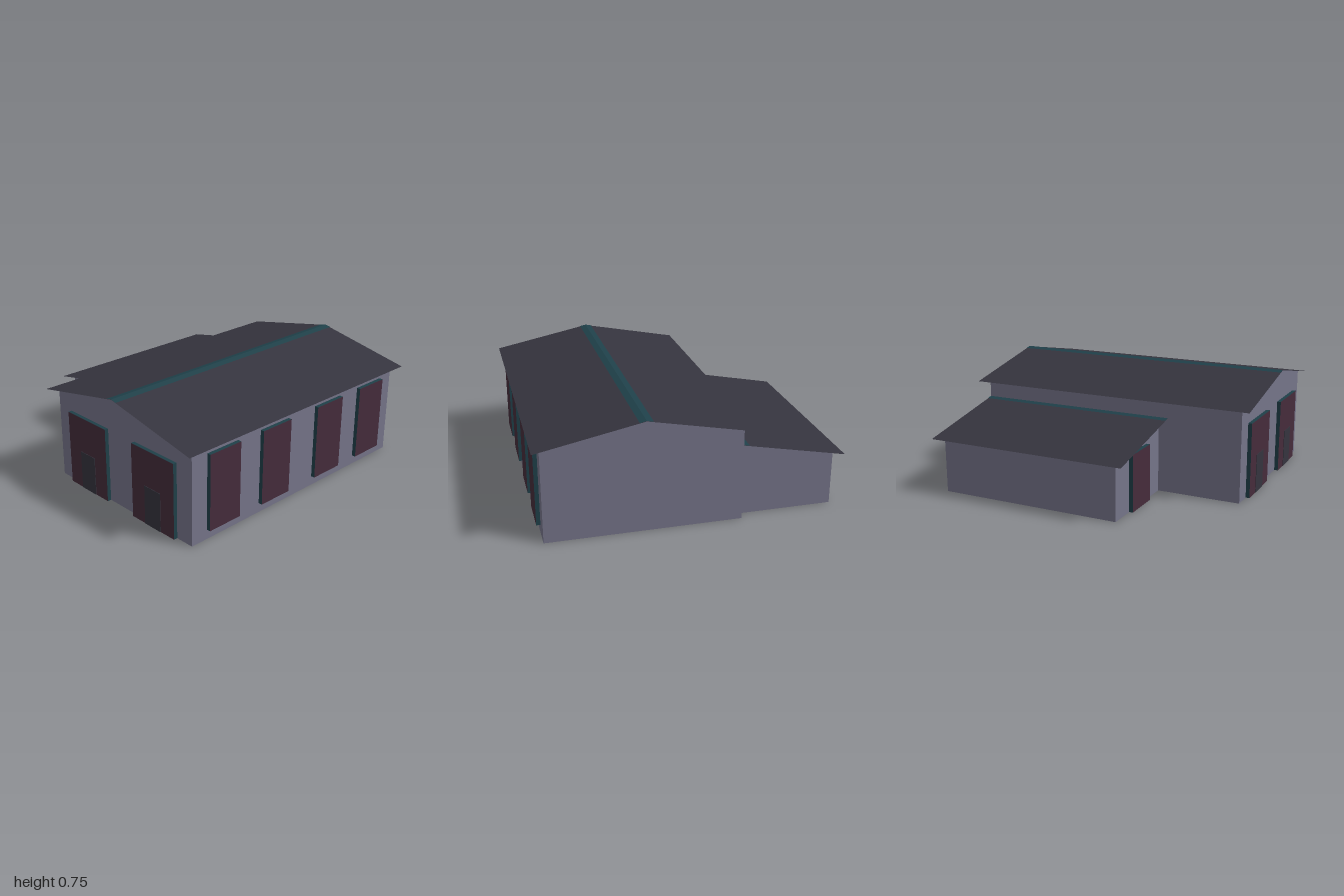
import * as THREE from 'three';

const mat = (name, color, side = THREE.FrontSide) => {
  const m = new THREE.MeshStandardMaterial({ color, side });
  m.name = name;
  return m;
};

export function createModel() {
  const group = new THREE.Group();
  group.name = 'barn';
  const wall = mat('wall grey', 0x757489, THREE.DoubleSide);
  const roof = mat('roof charcoal', 0x35343e, THREE.DoubleSide);
  const trim = mat('trim teal', 0x1f4049, THREE.DoubleSide);
  const panel = mat('panel maroon', 0x452c3b);

  const add = (parent, name, geometry, material) => {
    const mesh = new THREE.Mesh(geometry, material);
    mesh.name = name;
    parent.add(mesh);
    return mesh;
  };

  // Flat sheet: an x/y profile swept from z0 (back) to z1 (front)
  const sheet = (profile, z0, z1) => {
    const pos = [];
    for (let i = 0; i + 1 < profile.length; i++) {
      const [ax, ay] = profile[i], [bx, by] = profile[i + 1];
      pos.push(ax, ay, z1, bx, by, z1, bx, by, z0, ax, ay, z1, bx, by, z0, ax, ay, z0);
    }
    const g = new THREE.BufferGeometry();
    g.setAttribute('position', new THREE.Float32BufferAttribute(pos, 3));
    g.computeVertexNormals();
    return g;
  };

  // Open-bottomed shell: two end walls and the listed side walls
  const shell = (name, outline, sides, z0, z1) => {
    const part = new THREE.Group();
    part.name = name;
    const shape = new THREE.Shape(outline.map(([x, y]) => new THREE.Vector2(x, y)));
    add(part, 'frontWall', new THREE.ShapeGeometry(shape), wall).position.z = z1;
    const back = add(part, 'backWall', new THREE.ShapeGeometry(shape), wall);
    back.rotation.y = Math.PI;
    back.scale.x = -1;
    back.position.z = z0;
    for (const [x, h] of sides) {
      const run = x > 0 ? [[x, h], [x, 0]] : [[x, 0], [x, h]];
      add(part, 'sideWall', sheet(run, z0, z1), wall);
    }
    group.add(part);
  };

  // Main hall and lean-to
  shell('mainHall',
    [[-0.312, 0], [0.936, 0], [0.936, 0.625], [0.312, 0.75], [-0.312, 0.625]],
    [[-0.312, 0.625], [0.936, 0.625]], -0.936, 0.936);
  shell('leanTo',
    [[-0.936, 0], [-0.312, 0], [-0.312, 0.5], [-0.936, 0.375]],
    [[-0.936, 0.375]], -0.874, 0.37);

  // Thin overhanging roofs with teal ridge strips
  add(group, 'mainRoof', sheet([[-0.365, 0.615], [0.312, 0.751], [0.987, 0.615]], -1, 1), roof);
  add(group, 'mainRidge', sheet([[0.27, 0.745], [0.312, 0.754], [0.354, 0.745]], -1, 1), trim);
  add(group, 'leanToRoof', sheet([[-0.99, 0.365], [-0.312, 0.501]], -0.938, 0.433), roof);
  add(group, 'leanToRidge', sheet([[-0.35, 0.496], [-0.313, 0.504]], -0.938, 0.433), trim);

  // Raised panel: teal edges, maroon face toward local +z
  const framed = (name, w, h, x, y, z, turn = 0) => {
    const g = new THREE.BoxGeometry(w, h, 0.026);
    const m = add(group, name, g, [trim, trim, trim, trim, panel, trim]);
    m.position.set(x, y + h / 2, z);
    m.rotation.y = turn;
  };

  // Big front doors, each with a small wicket door
  for (const x of [0, 0.623]) {
    framed('frontDoor', 0.374, 0.5, x, 0, 0.949);
    const wicket = add(group, 'wicketDoor', new THREE.BoxGeometry(0.14, 0.26, 0.004), roof);
    wicket.position.set(x, 0.13, 0.963);
  }
  framed('leanToDoor', 0.25, 0.375, -0.625, 0, 0.383);

  // Side windows
  for (const z of [0.69, 0.245, -0.26, -0.695]) {
    framed('sideWindow', 0.25, 0.5, 0.949, 0.063, z, Math.PI / 2);
  }
  return group;
}
